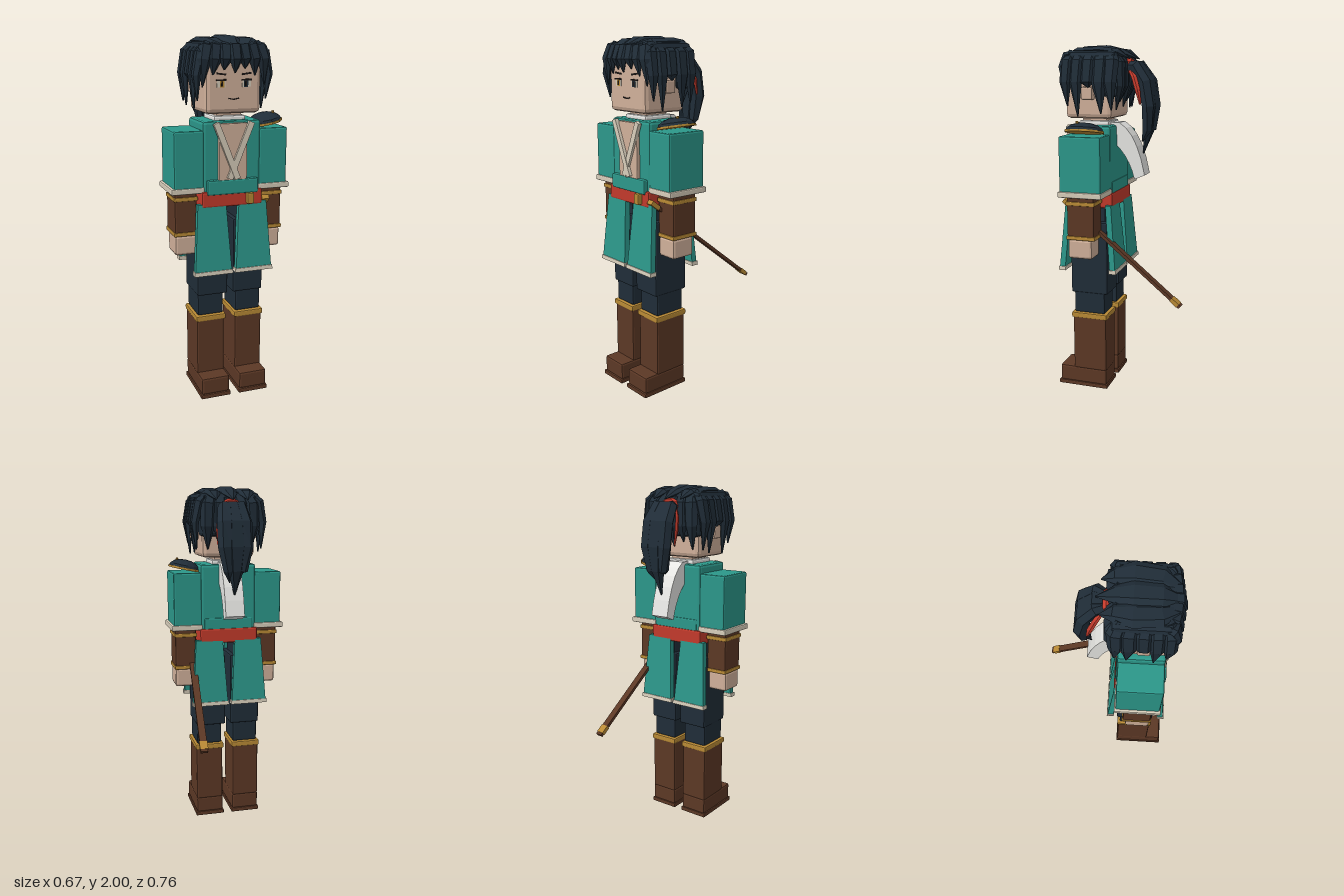
import * as THREE from 'three';
import { RoundedBoxGeometry } from 'three/addons/geometries/RoundedBoxGeometry.js';

const V = (a) => new THREE.Vector3(...a);
const mat = (name, color, flat = true) => {
  const m = new THREE.MeshStandardMaterial({ color, flatShading: flat });
  m.name = name;
  return m;
};

export function createModel() {
  const root = new THREE.Group();
  root.name = 'swordsman';
  const teal = mat('teal cloth', 0x2c978a);
  const navy = mat('dark navy', 0x202d38);
  const brown = mat('brown leather', 0x5c3825);
  const skin = mat('skin', 0xd0b09a);
  const cream = mat('cream trim', 0xd8cebb);
  const red = mat('red sash', 0xc23a2b);
  const gold = mat('gold', 0xb98a35);
  const white = mat('white scarf', 0xe6e6e3);
  const ink = mat('dark ink', 0x1b1614);
  white.side = THREE.DoubleSide;

  const add = (name, geo, m, pos = [0, 0, 0], parent = root) => {
    const mesh = new THREE.Mesh(geo, m);
    mesh.name = name;
    mesh.position.set(...pos);
    parent.add(mesh);
    return mesh;
  };
  // block given by its limits on each axis
  const block = (name, m, [x0, x1], [y0, y1], [z0, z1], r = 0.01) => {
    const w = x1 - x0, h = y1 - y0, d = z1 - z0;
    const geo = r ? new RoundedBoxGeometry(w, h, d, 1, Math.min(r, w / 2.1, h / 2.1, d / 2.1))
      : new THREE.BoxGeometry(w, h, d);
    return add(name, geo, m, [(x0 + x1) / 2, (y0 + y1) / 2, (z0 + z1) / 2]);
  };
  // limits mirrored to the chosen side
  const mx = (s, a, b) => (s > 0 ? [a, b] : [-b, -a]);

  // faceted tapering lock swept along a few points
  const lock = (name, m, pts, widths, depths, out, sides = 6) => {
    const p = pts.map(V), o = V(out), pos = [], idx = [];
    p.forEach((c, i) => {
      const t = p[Math.min(i + 1, p.length - 1)].clone().sub(p[Math.max(i - 1, 0)]).normalize();
      const side = o.clone().cross(t).normalize();
      const n = t.clone().cross(side);
      for (let j = 0; j < sides; j++) {
        const a = (j / sides) * Math.PI * 2;
        const v = c.clone().addScaledVector(side, widths[i] * Math.cos(a)).addScaledVector(n, depths[i] * Math.sin(a));
        pos.push(v.x, v.y, v.z);
      }
    });
    for (let i = 0; i < p.length - 1; i++) for (let j = 0; j < sides; j++) {
      const k = (j + 1) % sides, a = i * sides;
      idx.push(a + j, a + k, a + sides + j, a + k, a + sides + k, a + sides + j);
    }
    const e = (p.length - 1) * sides;
    for (let j = 1; j < sides - 1; j++) idx.push(0, j + 1, j, e, e + j, e + j + 1);
    const geo = new THREE.BufferGeometry();
    geo.setAttribute('position', new THREE.Float32BufferAttribute(pos, 3));
    geo.setIndex(idx);
    geo.computeVertexNormals();
    return add(name, geo, m);
  };

  // legs, arms and skirt panels
  for (const s of [1, -1]) {
    const n = s > 0 ? 'left' : 'right';
    block(n + 'Sole', brown, mx(s, 0.025, 0.2), [0, 0.025], [0.075, 0.38], 0.005);
    block(n + 'Foot', brown, mx(s, 0.03, 0.195), [0.02, 0.12], [0.08, 0.372], 0.012);
    block(n + 'BootShaft', brown, mx(s, 0.032, 0.195), [0.11, 0.445], [0.08, 0.285]);
    block(n + 'BootBand', gold, mx(s, 0.026, 0.2), [0.435, 0.467], [0.075, 0.292], 0.006);
    block(n + 'Shin', navy, mx(s, 0.036, 0.187), [0.467, 0.6], [0.09, 0.277]);
    block(n + 'Thigh', navy, mx(s, 0.015, 0.193), [0.59, 1.02], [0.07, 0.293]);
    block(n + 'Hip', navy, mx(s, 0.04, 0.16), [1.0, 1.12], [0.09, 0.27]);

    block(n + 'Sleeve', teal, mx(s, 0.155, 0.322), [1.2, 1.515], [0.06, 0.303]);
    block(n + 'SleeveHem', cream, mx(s, 0.155, 0.337), [1.18, 1.212], [0.053, 0.308], 0.006);
    block(n + 'Forearm', brown, mx(s, 0.185, 0.31), [0.94, 1.19], [0.105, 0.265]);
    for (const y of [0.95, 1.145])
      block(n + 'ForearmBand', gold, mx(s, 0.18, 0.315), [y - 0.011, y + 0.011], [0.1, 0.27], 0.005);
    block(n + 'Hand', skin, mx(s, 0.185, 0.308), [0.83, 0.942], [0.12, 0.262], 0.014);

    // panels flare outward toward the hem
    for (const [face, zt, zb] of [['Front', 0.302, 0.335], ['Back', 0.062, 0.03]]) {
      const flare = (y0, y1, thick, extra) => {
        const g = new THREE.BoxGeometry(1, y1 - y0, thick), p = g.attributes.position;
        for (let i = 0; i < p.count; i++) {
          const y = p.getY(i) + (y0 + y1) / 2, k = (1.12 - y) / 0.38;
          const half = 0.08 + 0.025 * k + extra;
          p.setXYZ(i, s * 0.117 + p.getX(i) * 2 * half, y, p.getZ(i) + zt + (zb - zt) * k);
        }
        g.computeVertexNormals();
        return g;
      };
      add(n + face + 'Panel', flare(0.745, 1.12, 0.033, 0), teal);
      add(n + face + 'PanelHem', flare(0.73, 0.752, 0.042, 0.005), cream);
    }
  }

  // torso and sash
  block('torso', teal, [-0.165, 0.165], [1.16, 1.562], [0.055, 0.305], 0.016);
  block('waistWrap', teal, [-0.145, 0.145], [1.17, 1.25], [0.05, 0.33], 0.008);
  block('sash', red, [-0.175, 0.172], [1.1, 1.188], [0.045, 0.322]);
  block('buckle', gold, [0.076, 0.116], [1.112, 1.172], [0.318, 0.348], 0.006);
  block('chest', skin, [-0.08, 0.08], [1.225, 1.55], [0.29, 0.325], 0.005);
  for (const s of [1, -1]) {
    const a = V([s * 0.1, 1.555, 0]), b = V([-s * 0.022, 1.255, 0]);
    const m = add('lapel', new THREE.BoxGeometry(0.032, a.distanceTo(b), 0.022), cream,
      [(a.x + b.x) / 2, (a.y + b.y) / 2, s > 0 ? 0.328 : 0.332]);
    m.rotation.z = -Math.atan2(a.x - b.x, a.y - b.y);
  }

  // scarf with a tail trailing behind
  block('neck', skin, [-0.07, 0.07], [1.54, 1.62], [0.11, 0.25], 0);
  block('scarfCollar', white, [-0.09, 0.09], [1.545, 1.585], [0.09, 0.27]);
  const tail = new THREE.Shape();
  tail.moveTo(0.09, 1.575);
  tail.lineTo(0.04, 1.575);
  tail.quadraticCurveTo(-0.065, 1.52, -0.11, 1.28);
  tail.lineTo(-0.05, 1.255);
  tail.quadraticCurveTo(-0.02, 1.38, 0.06, 1.45);
  const tailGeo = new THREE.ExtrudeGeometry(tail, { depth: 0.11, bevelEnabled: false, curveSegments: 5 });
  tailGeo.rotateY(-Math.PI / 2);
  add('scarfTail', tailGeo, white, [0.055, 0, 0]);

  // shoulder guard
  const guard = new THREE.Group();
  guard.name = 'shoulderGuard';
  guard.position.set(0.238, 1.535, 0.18);
  guard.rotation.z = 0.2;
  guard.scale.set(0.093, 1, 0.11);
  root.add(guard);
  add('guardDome', new THREE.SphereGeometry(1, 12, 4, 0, Math.PI * 2, 0, Math.PI / 2), navy, [0, 0, 0], guard).scale.y = 0.05;
  add('guardRim', new THREE.CylinderGeometry(1.02, 1.02, 0.012, 12), gold, [0, 0, 0], guard);
  add('guardStud', new THREE.CylinderGeometry(0.08, 0.08, 0.012, 8), gold, [0.5, 0.045, 0.25], guard);

  // sheathed sword
  const a = V([0.19, 1.14, 0.325]), b = V([0.241, 0.588, -0.375]);
  const sword = new THREE.Group();
  sword.name = 'sword';
  sword.position.copy(a);
  sword.lookAt(b);
  root.add(sword);
  const len = a.distanceTo(b);
  for (const [name, m, z0, z1, w, h] of [['grip', gold, 0, 0.06, 0.042, 0.025], ['scabbard', brown, 0.05, len, 0.04, 0.018],
    ['scabbardBand', gold, len - 0.065, len - 0.015, 0.045, 0.023]])
    add(name, new THREE.BoxGeometry(w, h, z1 - z0), m, [0, 0, (z0 + z1) / 2], sword);

  // head and face
  block('head', skin, [-0.155, 0.155], [1.6, 1.93], [0.05, 0.325], 0.025);
  for (const s of [1, -1]) {
    block('ear', skin, mx(s, 0.15, 0.196), [1.705, 1.775], [0.15, 0.215], 0.008);
    const x = s * 0.07;
    const plate = (name, m, w, y0, y1, dx, z) =>
      block(name, m, [x + dx - w / 2, x + dx + w / 2], [y0, y1], [0.322, z], 0);
    plate('eyeWhite', cream, 0.048, 1.737, 1.772, 0, 0.327);
    plate('iris', s > 0 ? navy : gold, 0.024, 1.737, 1.77, -s * 0.004, 0.329);
    plate('pupil', ink, 0.01, 1.742, 1.766, -s * 0.004, 0.331);
    plate('upperLash', ink, 0.054, 1.77, 1.778, 0, 0.331);
    plate('brow', ink, 0.052, 1.8, 1.809, 0, 0.329).rotation.z = s * 0.12;
    add('mouthHalf', new THREE.BoxGeometry(0.03, 0.006, 0.006), ink, [s * 0.014, 1.677, 0.326]).rotation.z = s * 0.2;
  }

  // hair cap and fringe
  block('hairCap', navy, [-0.178, 0.178], [1.84, 1.965], [0.02, 0.315], 0.025);
  block('hairBack', navy, [-0.165, 0.165], [1.72, 1.9], [0.015, 0.12], 0.02);
  [-0.155, -0.105, -0.052, 0, 0.052, 0.105, 0.155].forEach((x, i) => {
    const tip = [1.74, 1.8, 1.825, 1.81, 1.83, 1.795, 1.745][i], z = 0.355 - Math.abs(x) * 0.15;
    lock('fringeLock', navy, [[x * 0.75, 1.955, 0.22], [x * 0.95, 1.935, z - 0.015], [x * 1.05, 1.88, z], [x * 1.1, tip, z - 0.012]],
      [0.03, 0.042, 0.038, 0.003], [0.025, 0.026, 0.022, 0.003], [0, 1, 1]);
  });

  // side locks: z, tip height, width
  for (const s of [1, -1])
    for (const [z, tip, w] of [[0.3, 1.67, 0.038], [0.24, 1.615, 0.042], [0.175, 1.77, 0.045], [0.105, 1.63, 0.05], [0.045, 1.65, 0.045]])
      lock('sideLock', navy, [[s * 0.13, 1.955, z * 0.85 + 0.03], [s * 0.175, 1.91, z], [s * 0.198, 1.8, z + 0.004], [s * 0.19, tip, z - 0.004]],
        [w * 0.8, w, w * 0.9, 0.004], [0.025, 0.03, 0.024, 0.004], [s, 0.6, 0]);

  // locks at the nape
  [-0.125, -0.063, 0, 0.063, 0.125].forEach((x, i) =>
    lock('napeLock', navy, [[x * 0.8, 1.95, 0.06], [x, 1.9, 0.015], [x * 1.05, 1.78, 0.01], [x, [1.65, 1.69, 1.66, 1.69, 1.65][i], 0.035]],
      [0.04, 0.045, 0.04, 0.004], [0.03, 0.03, 0.025, 0.004], [0, 1, -1]));

  // crown tufts sweeping back
  for (const [x, back, y, w] of [[0, -0.055, 1.981, 0.06], [-0.095, -0.035, 1.972, 0.06], [0.095, -0.035, 1.972, 0.06]])
    lock('crownTuft', navy, [[x * 0.6, 1.94, 0.33], [x, y - 0.005, 0.25], [x * 1.1, y, 0.12], [x, 1.96, 0.03], [x * 0.95, 1.925, back]],
      [0.03, w, w * 1.1, w * 0.75, 0.004], [0.015, 0.02, 0.02, 0.02, 0.003], [0, 1, 0]);

  // ponytail with tie and ribbons
  for (const [x, w, tip] of [[0, 0.075, 1.4], [0.055, 0.05, 1.47], [-0.05, 0.045, 1.52]])
    lock('ponytail', navy, [[x * 0.4, 1.88, 0.01], [x * 0.8, 1.885, -0.055], [x, 1.8, -0.113], [x * 1.1, 1.67, -0.133],
      [x * 0.8, 1.54, -0.122], [x * 0.5, tip, -0.088]],
    [w * 0.5, w * 0.85, w, w * 0.9, w * 0.6, 0.004], [0.028, 0.038, 0.04, 0.038, 0.03, 0.004], [0, 1, -1]);
  const tie = add('hairTie', new THREE.TorusGeometry(0.042, 0.02, 6, 10), red, [0, 1.885, -0.005]);
  tie.scale.y = 0.75;
  for (const s of [1, -1])
    lock('hairRibbon', red, [[s * 0.04, 1.885, -0.01], [s * 0.085, 1.83, -0.055], [s * 0.098, 1.76, -0.08], [s * 0.096, 1.68, -0.095]],
      [0.01, 0.015, 0.015, 0.006], [0.005, 0.005, 0.005, 0.004], [s, 0.3, 0], 4);

  return root;
}
